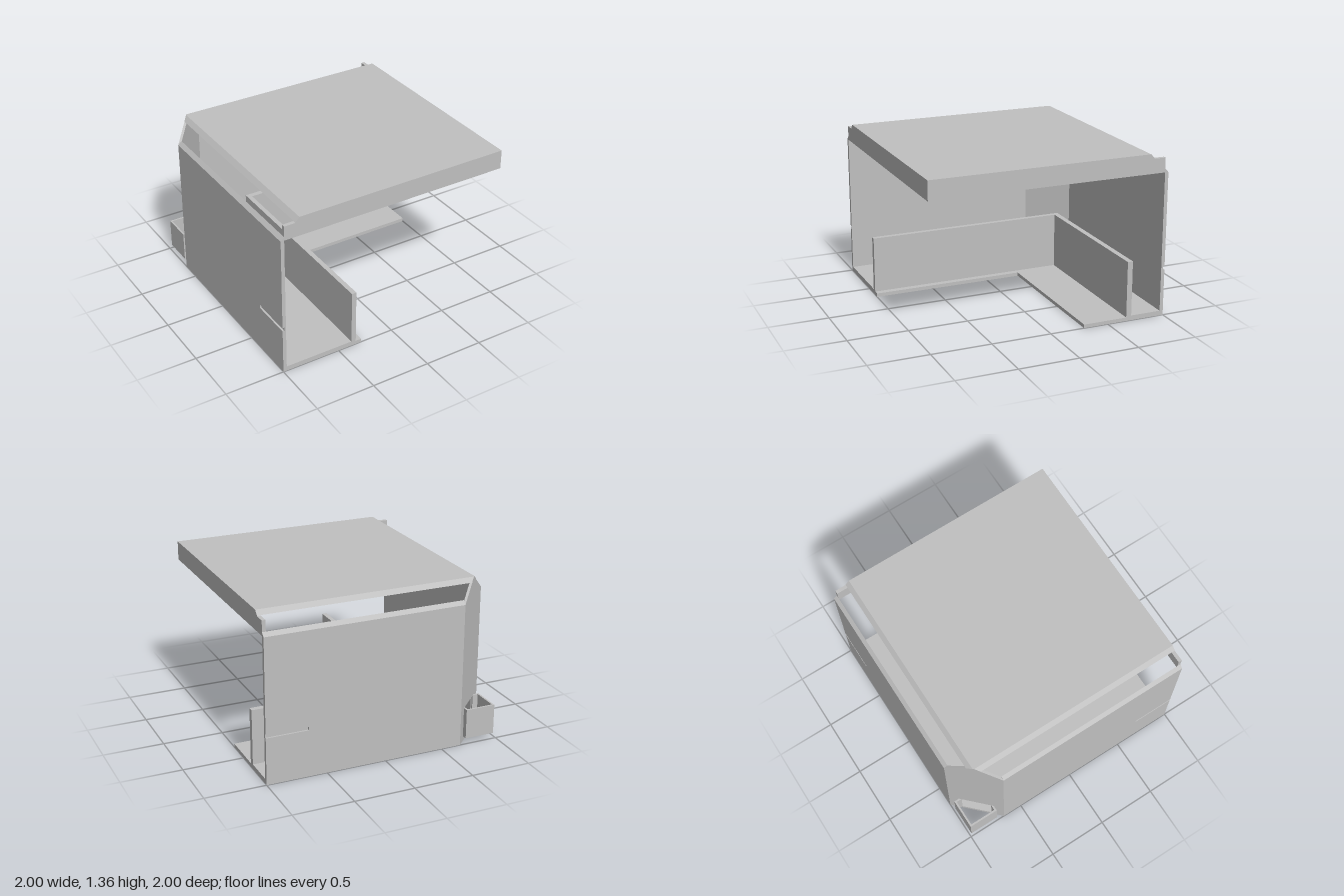
import * as THREE from 'three';
import { ConvexGeometry } from 'three/addons/geometries/ConvexGeometry.js';

const shapeOf = (pts) => new THREE.Shape(pts.map(([a, b]) => new THREE.Vector2(a, b)));
const extrude = (shape, depth) => new THREE.ExtrudeGeometry(shape, { depth, bevelEnabled: false });

// Box given by its limits on each axis
function box(x0, x1, y0, y1, z0, z1) {
  return new THREE.BoxGeometry(x1 - x0, y1 - y0, z1 - z0)
    .translate((x0 + x1) / 2, (y0 + y1) / 2, (z0 + z1) / 2);
}

// Mirror across the diagonal plane x = z, restoring the winding
function mirrored(geometry) {
  const src = geometry.index ? geometry.toNonIndexed() : geometry;
  const p = src.attributes.position;
  const out = [];
  for (let i = 0; i < p.count; i += 3) {
    for (const j of [i, i + 2, i + 1]) out.push(p.getZ(j), p.getY(j), p.getX(j));
  }
  const g = new THREE.BufferGeometry();
  g.setAttribute('position', new THREE.Float32BufferAttribute(out, 3));
  g.computeVertexNormals();
  return g;
}

// L-shaped slab with a cut corner; inner edges at x = ix and z = iz
function floorSlab(ix, iz, y0, y1) {
  const outline = [[-0.98, 1], [ix, 1], [ix, iz], [1, iz], [1, -0.98], [-0.67, -0.98], [-0.98, -0.67]];
  return extrude(shapeOf(outline.map(([x, z]) => [x, -z])), y1 - y0)
    .rotateX(-Math.PI / 2).translate(0, y0, 0);
}

export function createModel() {
  const model = new THREE.Group();
  const grey = new THREE.MeshStandardMaterial({ color: 0xc0c0c0 });
  grey.name = 'light grey';

  const add = (name, geometry) => {
    const mesh = new THREE.Mesh(geometry, grey);
    mesh.name = name;
    model.add(mesh);
  };
  const addPair = (name, geometry) => {
    add(name + 'Side', geometry);
    add(name + 'Back', mirrored(geometry));
  };

  // Floor: wide base with a slightly raised corridor
  add('floorBase', floorSlab(-0.29, -0.29, 0, 0.03));
  add('corridorFloor', floorSlab(-0.36, -0.69, 0.03, 0.04));

  // Outer walls with a bevelled top; the open end has a shallow groove
  const wall = [[-0.97, 0], [-0.97, 1.23], [-1, 1.2], [-1, 0]];
  const grooved = [[-0.97, 0], [-0.97, 1.23], [-1, 1.2], [-1, 0.42],
    [-0.985, 0.42], [-0.985, 0.39], [-1, 0.39], [-1, 0]];
  addPair('outerWall', extrude(shapeOf(wall), 1.32).translate(0, 0, -0.67));
  addPair('groovedWallEnd', extrude(shapeOf(grooved), 0.35).translate(0, 0, 0.65));

  // Diagonal corner panel with a gabled top and a doorway
  const half = 0.165 * Math.SQRT2;
  const panel = shapeOf([[-half, 0], [half, 0], [half, 1.2], [0, 1.36], [-half, 1.2]]);
  panel.holes.push(shapeOf([[-0.138, 0.04], [-0.138, 0.29], [0.138, 0.29], [0.138, 0.04]]));
  add('cornerPanel', extrude(panel, 0.021).rotateY(Math.PI / 4).translate(-0.835, 0, -0.835));

  // Open square duct outside the doorway
  addPair('ductWall', box(-0.985, -0.97, 0.04, 0.29, -0.985, -0.73));
  addPair('ductReturn', box(-0.985, -0.922, 0.04, 0.29, -0.745, -0.73));

  // Low inner walls
  add('innerWallSide', box(-0.38, -0.34, 0.03, 0.5, -0.71, 1));
  add('innerWallBack', box(-0.38, 1, 0.03, 0.5, -0.71, -0.665));

  // Roof slab with sloping outer edges
  const ring = (e, c, y) => [[1, 1], [1, e], [c, e], [e, c], [e, 1]]
    .map(([x, z]) => new THREE.Vector3(x, y, z));
  add('roof', new ConvexGeometry([...ring(-0.875, -0.795, 1.325), ...ring(-0.84, -0.83, 1.36)]));

  // Fascia beams over the two open sides, with a stepped end tab
  const fascia = shapeOf([[-0.97, 1.2], [1, 1.2], [1, 1.36], [-0.84, 1.36], [-0.875, 1.32], [-0.97, 1.32]]);
  addPair('fascia', extrude(fascia, 0.03).translate(0, 0, 0.97));

  return model;
}
